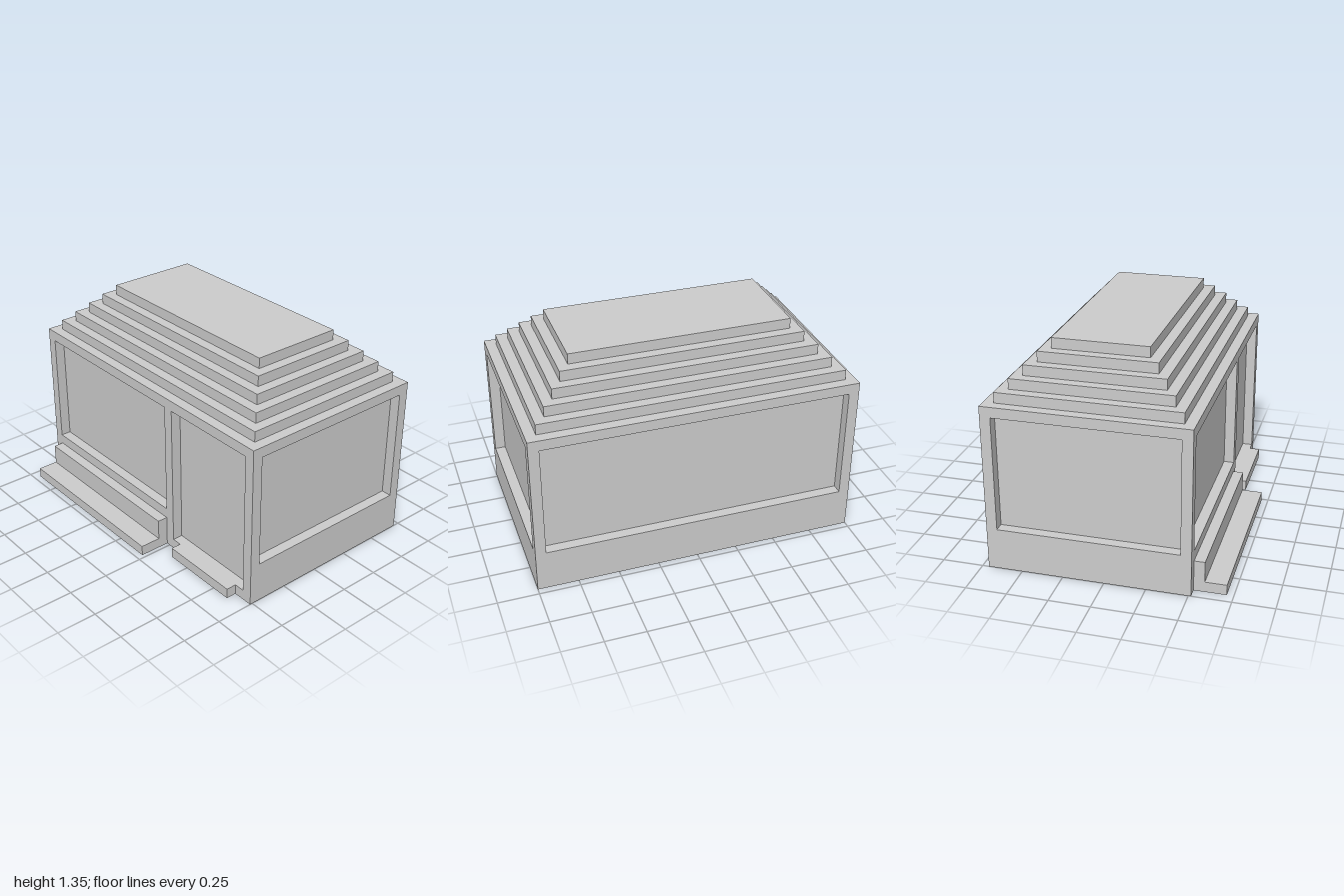
import * as THREE from 'three';

const U = 2 / 31; // the building sits on a regular grid of this module
const mat = new THREE.MeshStandardMaterial({ color: 0xcccccc, flatShading: true });

// Box given by its min and max corners in grid units
function block(parent, name, [x0, y0, z0], [x1, y1, z1]) {
  const geo = new THREE.BoxGeometry((x1 - x0) * U, (y1 - y0) * U, (z1 - z0) * U);
  const mesh = new THREE.Mesh(geo, mat);
  mesh.position.set((x0 + x1) / 2 * U, (y0 + y1) / 2 * U, (z0 + z1) / 2 * U);
  mesh.name = name;
  parent.add(mesh);
}

function rect(path, x0, y0, x1, y1) {
  path.moveTo(x0 * U, y0 * U);
  path.lineTo(x1 * U, y0 * U);
  path.lineTo(x1 * U, y1 * U);
  path.lineTo(x0 * U, y1 * U);
  path.closePath();
  return path;
}

// Full-width wall one module thick, with rectangular openings
function wall(parent, name, z, openings) {
  const shape = rect(new THREE.Shape(), -15.5, 0, 15.5, 16);
  shape.holes = openings.map(o => rect(new THREE.Path(), ...o));
  const geo = new THREE.ExtrudeGeometry(shape, { depth: U, bevelEnabled: false });
  const mesh = new THREE.Mesh(geo, mat);
  mesh.position.z = z * U;
  mesh.name = name;
  parent.add(mesh);
}

export function createModel() {
  const model = new THREE.Group();
  model.name = 'building';

  // Inner core: its faces form the recessed window and door panels
  block(model, 'core', [-14.5, 0, -10], [14.5, 16, 7]);

  // Front wall with window and door, back wall with one wide window
  wall(model, 'frontWall', 7, [[-14.5, 4, 3.5, 15], [4.5, 1, 14.5, 15]]);
  wall(model, 'backWall', -11, [[-14.5, 4, 14.5, 15]]);

  // Side walls: parapet below and lintel above each window
  for (const [side, x] of [['left', 14.5], ['right', -15.5]]) {
    block(model, side + 'Parapet', [x, 0, -10], [x + 1, 4, 7]);
    block(model, side + 'Lintel', [x, 15, -10], [x + 1, 16, 7]);
  }

  // Stepped roof, each tier one module smaller all round
  const roof = new THREE.Group();
  roof.name = 'roof';
  for (let i = 0; i < 5; i++) {
    block(roof, 'roofTier' + (i + 1), [-14.5 + i, 16 + i, -10 + i], [14.5 - i, 17 + i, 7 - i]);
  }
  model.add(roof);

  // Ledge and low platform under the window, step at the door
  block(model, 'windowLedge', [-14.5, 0, 8], [3.5, 3, 9]);
  block(model, 'frontPlatform', [-14.5, 0, 9], [3.5, 1, 11]);
  block(model, 'doorStep', [5.5, 0, 8], [13.5, 1, 9]);

  return model;
}
